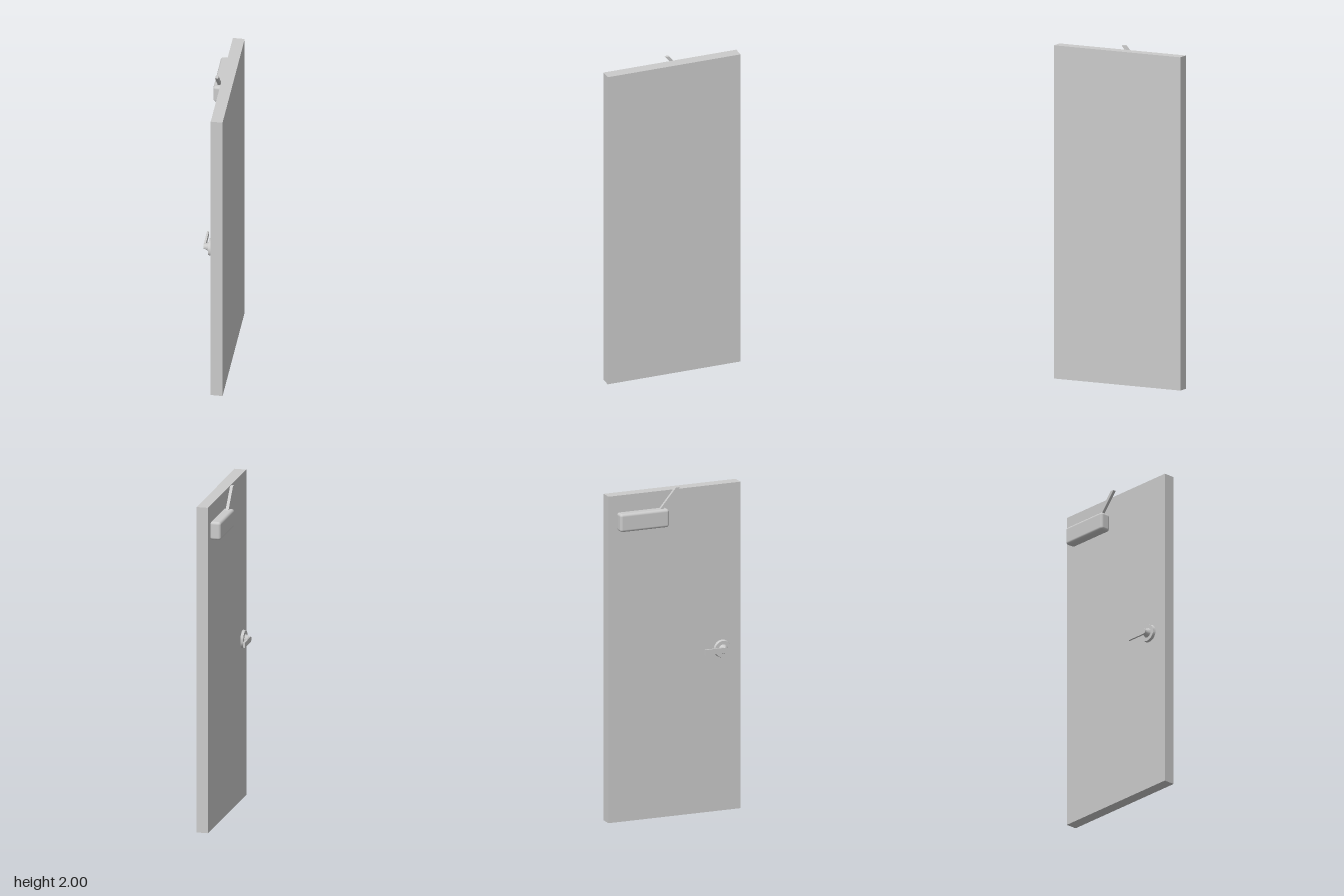
import * as THREE from 'three';
import { toCreasedNormals } from 'three/addons/utils/BufferGeometryUtils.js';
import { RoundedBoxGeometry } from 'three/addons/geometries/RoundedBoxGeometry.js';

const grey = new THREE.MeshStandardMaterial({ color: 0xcccccc });

export function createModel() {
  const model = new THREE.Group();

  const add = (name, geometry, x, y, z, parent = model) => {
    const mesh = new THREE.Mesh(geometry, grey);
    mesh.name = name;
    mesh.position.set(x, y, z);
    parent.add(mesh);
    return mesh;
  };

  // Extrudes a (z, y) outline towards -x
  const plate = (shape, depth) => toCreasedNormals(
    new THREE.ExtrudeGeometry(shape, { depth, bevelEnabled: false, curveSegments: 12 })
      .rotateY(-Math.PI / 2), 0.6);

  // Door leaf
  add('doorLeaf', new THREE.BoxGeometry(0.07, 1.98, 0.84), 0.03, 0.99, 0);

  // Door closer: rounded housing and slanted arm
  const closer = new THREE.Group();
  closer.name = 'doorCloser';
  model.add(closer);
  add('closerHousing', new RoundedBoxGeometry(0.066, 0.11, 0.312, 4, 0.016), -0.033, 1.825, -0.212, closer);
  const arm = new THREE.Shape([
    [-0.11, 1.875], [-0.087, 1.875], [0.018, 1.998], [0.018, 2], [-0.005, 2],
  ].map(([z, y]) => new THREE.Vector2(z, y)));
  add('closerArm', plate(arm, 0.018), -0.024, 0, 0, closer);

  // Handle: tapered rosette and neck turned about x, with a flat lever
  const handle = new THREE.Group();
  handle.name = 'doorHandle';
  handle.position.set(0, 0.985, 0.299);
  model.add(handle);
  const turned = (profile) => toCreasedNormals(
    new THREE.LatheGeometry(profile.map(([r, h]) => new THREE.Vector2(r, h)), 32)
      .rotateZ(Math.PI / 2), 0.5);
  add('rosette', turned([[0, 0.017], [0.054, 0.017], [0.05, 0.033], [0, 0.033]]), 0, 0, 0, handle);
  add('neck', turned([[0.029, 0.032], [0.018, 0.053], [0.017, 0.065], [0, 0.065]]), 0, 0, 0, handle);
  const lever = new THREE.Shape();
  lever.moveTo(-0.128, -0.016);
  lever.lineTo(0, -0.016);
  lever.absarc(0, 0, 0.016, -Math.PI / 2, Math.PI / 2, false);
  lever.lineTo(-0.128, 0.016);
  lever.closePath();
  add('lever', plate(lever, 0.0115), -0.054, 0, 0, handle);

  return model;
}
